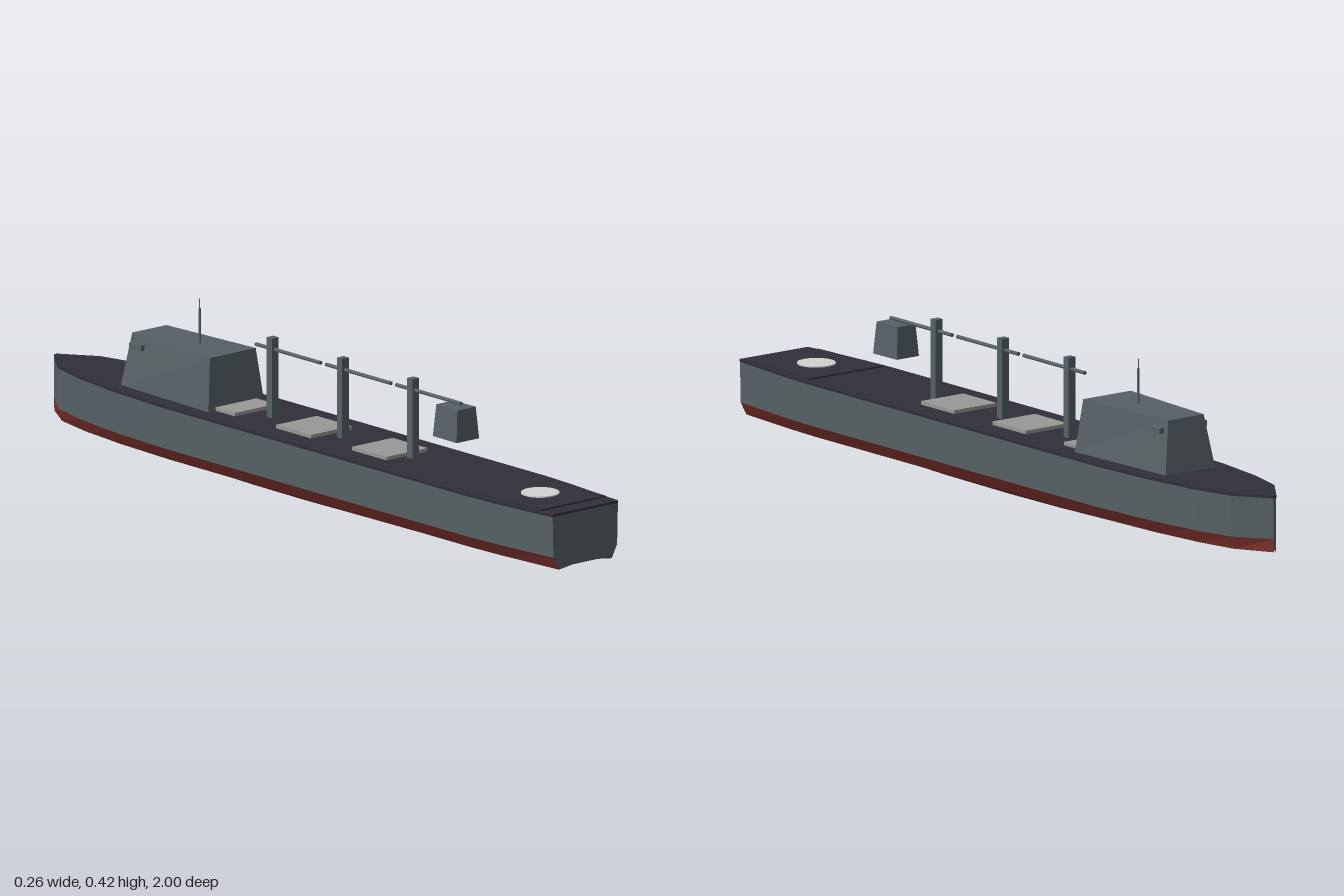
import * as THREE from 'three';

const paint = (name, color) => {
  const m = new THREE.MeshStandardMaterial({ color, flatShading: true });
  m.name = name;
  return m;
};

export function createModel() {
  const ship = new THREE.Group();
  ship.name = 'cargoShip';
  const grey = paint('hullGrey', 0x566165);
  const red = paint('bottomRed', 0x7c322c);
  const dark = paint('deckDark', 0x302f38);
  const pale = paint('hatchGrey', 0x989896);
  const white = paint('markingWhite', 0xd0d3d0);

  const add = (name, geo, mat, x = 0, y = 0, z = 0) => {
    const mesh = new THREE.Mesh(geo, mat);
    mesh.name = name;
    mesh.position.set(x, y, z);
    ship.add(mesh);
    return mesh;
  };
  const box = (name, mat, w, h, d, x, y, z) => add(name, new THREE.BoxGeometry(w, h, d), mat, x, y, z);

  // Hull stations: z and half width at deck level, bow to stern
  const stations = [
    [-1, 0.004], [-0.91, 0.069], [-0.8, 0.097], [-0.65, 0.117], [-0.45, 0.129], [-0.2, 0.13],
    [0, 0.13], [0.25, 0.13], [0.5, 0.13], [0.7, 0.13], [0.8, 0.125], [1, 0.107],
  ];
  // Cross-section: sheer, waterline, chine, keel plate, then mirrored
  const section = ([z, w]) => {
    const half = [[w, 0.165], [w * 0.975, 0.06], [w * 0.81, 0.027], [w * 0.38, 0.002 + 0.031 * z * z]];
    const mirrored = half.map(([x, y]) => [-x, y]).reverse();
    return [...half, ...mirrored].map(([x, y]) => [x, y, z]);
  };
  const rings = stations.map(section);

  const hullStrip = (name, strips, mat) => {
    const pos = [];
    for (let i = 0; i < rings.length - 1; i++) {
      for (const j of strips) {
        const a = rings[i][j], b = rings[i + 1][j], c = rings[i + 1][j + 1], d = rings[i][j + 1];
        pos.push(...a, ...b, ...c, ...a, ...c, ...d);
      }
    }
    const g = new THREE.BufferGeometry();
    g.setAttribute('position', new THREE.Float32BufferAttribute(pos, 3));
    g.computeVertexNormals();
    add(name, g, mat);
  };
  hullStrip('hullSides', [0, 6], grey);
  hullStrip('hullBottom', [1, 2, 3, 4, 5], red);

  // Stern transom and narrow stem
  const endCap = ring => new THREE.ShapeGeometry(new THREE.Shape(ring.map(([x, y]) => new THREE.Vector2(x, y))));
  add('transom', endCap(rings[rings.length - 1]), grey, 0, 0, 1);
  add('stem', endCap(rings[0]).rotateY(Math.PI), grey, 0, 0, -1);

  // Flat plate from a list of [z, half width]
  const plate = (name, outline, y, h) => {
    const right = outline.map(([z, w]) => new THREE.Vector2(w, -z));
    const left = outline.map(([z, w]) => new THREE.Vector2(-w, -z)).reverse();
    const g = new THREE.ExtrudeGeometry(new THREE.Shape([...right, ...left]), { depth: h, bevelEnabled: false });
    add(name, g.rotateX(-Math.PI / 2), dark, 0, y, 0);
  };
  plate('deck', stations.map(([z, w]) => [z, w + 0.001]), 0.164, 0.007);
  plate('landingPad', [[0.71, 0.118], [0.955, 0.105]], 0.17, 0.005);
  add('padMarking', new THREE.CylinderGeometry(0.048, 0.048, 0.003, 32), white, 0, 0.1765, 0.83);

  // Tapered block: each level gives y, front z, back z, half width at front and at back
  const taperedBlock = (name, low, high) => {
    const g = new THREE.BoxGeometry(1, 1, 1);
    const p = g.attributes.position;
    for (let i = 0; i < p.count; i++) {
      const [y, zf, zb, wf, wb] = p.getY(i) > 0 ? high : low;
      const front = p.getZ(i) > 0;
      p.setXYZ(i, Math.sign(p.getX(i)) * (front ? wf : wb), y, front ? zf : zb);
    }
    g.computeVertexNormals();
    add(name, g, grey);
  };
  taperedBlock('deckhouse', [0.17, -0.317, -0.663, 0.091, 0.078], [0.305, -0.33, -0.645, 0.075, 0.056]);
  taperedBlock('controlCabin', [0.255, 0.557, 0.465, 0.037, 0.035], [0.336, 0.552, 0.47, 0.03, 0.028]);
  for (const s of [-1, 1]) box('bridgeWing', grey, 0.03, 0.014, 0.045, s * 0.06, 0.278, -0.612);

  // Antenna on the deckhouse roof
  add('antennaBase', new THREE.CylinderGeometry(0.003, 0.003, 0.09, 8), grey, 0, 0.35, -0.455);
  add('antennaTip', new THREE.CylinderGeometry(0.0012, 0.0012, 0.025, 6), grey, 0, 0.4075, -0.455);

  // Cargo masts, each with a boom and a hatch
  for (const z of [0.35, 0.085, -0.18]) {
    box('mast', grey, 0.022, 0.205, 0.02, 0, 0.2725, z);
    const boom = new THREE.CylinderGeometry(0.005, 0.005, 0.245, 8).rotateX(Math.PI / 2);
    add('boom', boom, grey, 0, 0.345, z + 0.06);
  }
  for (const z of [0.262, -0.024, -0.31]) box('hatch', pale, 0.134, 0.012, 0.132, 0, 0.174, z);

  return ship;
}
